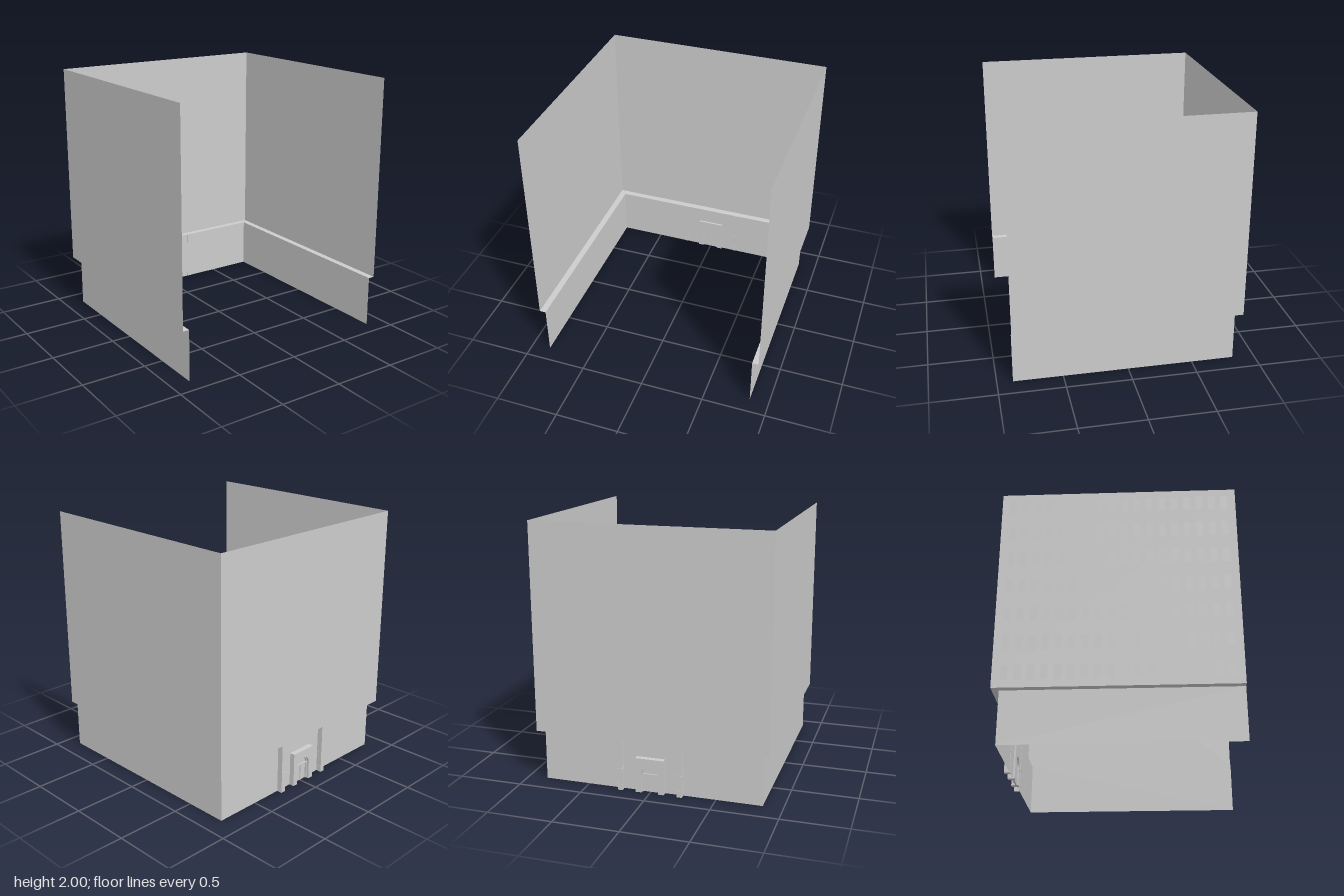
import * as THREE from 'three';
import { mergeGeometries } from 'three/addons/utils/BufferGeometryUtils.js';

const UPPER_X = 0.9, LOWER_X = 0.85, FRONT = 0.88, UPPER_BACK = -0.88, LOWER_BACK = -0.83;
const LEDGE_Y = 0.4, TOP = 2;

export function createModel() {
  const group = new THREE.Group();
  const material = new THREE.MeshStandardMaterial({ color: 0xcccccc, flatShading: true, side: THREE.DoubleSide });

  const add = (name, geometry, x = 0, y = 0, z = 0, parent = group) => {
    const mesh = new THREE.Mesh(geometry, material);
    mesh.name = name;
    mesh.position.set(x, y, z);
    parent.add(mesh);
    return mesh;
  };
  const box = (w, h, d) => new THREE.BoxGeometry(w, h, d);

  // Thin facade sheets: back wall and two side walls, open to the front
  const sheets = (prefix, halfX, back, y0, y1) => {
    const h = y1 - y0, depth = FRONT - back, y = (y0 + y1) / 2;
    add(prefix + 'BackWall', new THREE.PlaneGeometry(halfX * 2, h).rotateY(Math.PI), 0, y, back);
    for (const s of [-1, 1]) {
      add(prefix + (s > 0 ? 'Left' : 'Right') + 'Wall',
        new THREE.PlaneGeometry(depth, h).rotateY(s * Math.PI / 2), s * halfX, y, (FRONT + back) / 2);
    }
  };
  sheets('lower', LOWER_X, LOWER_BACK, 0, LEDGE_Y);
  sheets('upper', UPPER_X, UPPER_BACK, LEDGE_Y, TOP);

  // Overhang soffit joining the lower and upper walls
  const ledge = (name, w, d, x, z) =>
    add(name, new THREE.PlaneGeometry(w, d).rotateX(Math.PI / 2), x, LEDGE_Y, z);
  const lip = UPPER_X - LOWER_X;
  ledge('backLedge', LOWER_X * 2, LOWER_BACK - UPPER_BACK, 0, (LOWER_BACK + UPPER_BACK) / 2);
  for (const s of [-1, 1]) {
    ledge(s > 0 ? 'leftLedge' : 'rightLedge', lip, FRONT - UPPER_BACK, s * (LOWER_X + lip / 2), 0);
  }

  // Seven storeys of nearly flush window panes on each outer face
  const panes = (width) => {
    const list = [], columns = 18, storeys = 7;
    const storey = (TOP - LEDGE_Y) / storeys, pitch = (width - 0.08) / columns;
    for (let r = 0; r < storeys; r++) {
      for (let c = 0; c < columns; c++) {
        list.push(new THREE.PlaneGeometry(pitch * 0.55, storey * 0.5)
          .translate((c - (columns - 1) / 2) * pitch, LEDGE_Y + (r + 0.5) * storey, 0));
      }
    }
    return mergeGeometries(list);
  };
  const proud = 0.001;
  add('backWindows', panes(UPPER_X * 2).rotateY(Math.PI), 0, 0, UPPER_BACK - proud);
  for (const s of [-1, 1]) {
    add(s > 0 ? 'leftWindows' : 'rightWindows',
      panes(FRONT - UPPER_BACK).rotateY(s * Math.PI / 2), s * (UPPER_X + proud), 0, 0);
  }

  // Arched portal in the back wall
  const arch = (path, r, top) => {
    path.lineTo(r, 0);
    path.lineTo(r, top - r);
    path.absarc(0, top - r, r, 0, Math.PI, false);
    path.lineTo(-r, 0);
    return path;
  };
  const entrance = new THREE.Group();
  entrance.name = 'entrance';
  group.add(entrance);
  const extrude = (shape, depth) =>
    new THREE.ExtrudeGeometry(shape, { depth, bevelEnabled: false, curveSegments: 16 });

  const surround = new THREE.Shape();
  surround.moveTo(-0.11, 0.27);
  surround.lineTo(0.11, 0.27);
  surround.lineTo(0.11, 0);
  surround.lineTo(0.066, 0);
  surround.lineTo(0.066, 0.14);
  surround.absarc(0, 0.14, 0.066, 0, Math.PI, false);
  surround.lineTo(-0.066, 0);
  surround.lineTo(-0.11, 0);
  surround.closePath();
  add('portalSurround', extrude(surround, 0.055), 0, 0, -0.87, entrance);

  // Arched frame, two door leaves and the transom
  const frame = new THREE.Shape();
  frame.moveTo(-0.066, 0);
  frame.lineTo(-0.058, 0);
  frame.lineTo(-0.058, 0.14);
  frame.absarc(0, 0.14, 0.058, Math.PI, 0, true);
  frame.lineTo(0.058, 0);
  frame.lineTo(0.066, 0);
  frame.lineTo(0.066, 0.14);
  frame.absarc(0, 0.14, 0.066, 0, Math.PI, false);
  frame.closePath();
  add('doorFrame', extrude(frame, 0.03), 0, 0, -0.85, entrance);
  const panel = new THREE.Shape();
  panel.moveTo(-0.058, 0);
  add('doorPanel', extrude(arch(panel, 0.058, 0.198), 0.012), 0, 0, -0.838, entrance);
  add('transom', box(0.116, 0.008, 0.01), 0, 0.14, -0.842, entrance);
  add('doorMullion', box(0.006, 0.14, 0.008), 0, 0.07, -0.841, entrance);

  // Pilasters either side of the portal, with thin bands
  for (const s of [-1, 1]) {
    const pilaster = new THREE.Group();
    pilaster.name = s > 0 ? 'leftPilaster' : 'rightPilaster';
    pilaster.position.set(s * 0.232, 0, -0.85);
    entrance.add(pilaster);
    add('pilasterShaft', box(0.038, LEDGE_Y, 0.046), 0, LEDGE_Y / 2, 0, pilaster);
    for (const y of [0.045, 0.17]) add('pilasterBand', box(0.041, 0.005, 0.049), 0, y, 0, pilaster);
  }
  return group;
}
